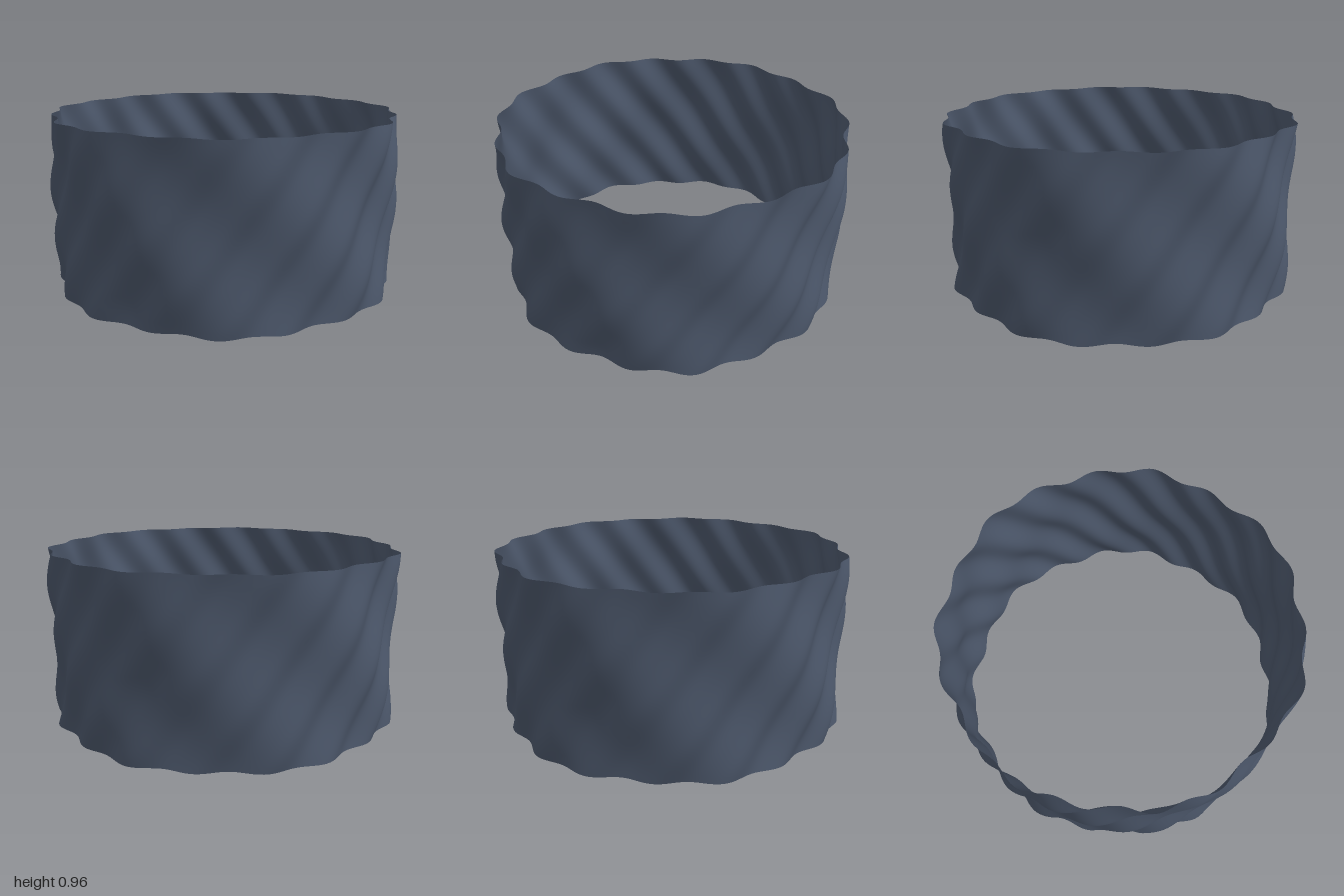
import * as THREE from 'three';
import { mergeVertices } from 'three/addons/utils/BufferGeometryUtils.js';

const HEIGHT = 0.96;
const RADIUS = 0.965;

// Crossing spiral ripples: a fine one leaning one way, a broad one the other
function rippleRadius(angle, y) {
  const fine = 0.018 * Math.cos(18 * (angle - Math.PI / 2) - 13.5 * (y - 0.38));
  const broad = 0.014 * Math.cos(7 * (angle - Math.PI / 2) + 7 * (y - 0.4));
  return RADIUS + fine + broad;
}

export function createModel() {
  const group = new THREE.Group();
  group.name = 'rippledBand';

  const slate = new THREE.MeshStandardMaterial({ color: 0x4a5568, side: THREE.DoubleSide });
  slate.name = 'slate';

  // Open tube, its wall pushed in and out by the ripples
  const tube = new THREE.CylinderGeometry(1, 1, HEIGHT, 256, 32, true);
  tube.translate(0, HEIGHT / 2, 0);
  const pos = tube.attributes.position;
  for (let i = 0; i < pos.count; i++) {
    const angle = Math.atan2(pos.getX(i), pos.getZ(i));
    const r = rippleRadius(angle, pos.getY(i));
    pos.setX(i, r * Math.sin(angle));
    pos.setZ(i, r * Math.cos(angle));
  }

  // Weld the seam so the shading runs smoothly all the way round
  tube.deleteAttribute('uv');
  tube.deleteAttribute('normal');
  const wallGeometry = mergeVertices(tube, 1e-5);
  wallGeometry.computeVertexNormals();

  const wall = new THREE.Mesh(wallGeometry, slate);
  wall.name = 'rippledWall';
  group.add(wall);
  return group;
}
